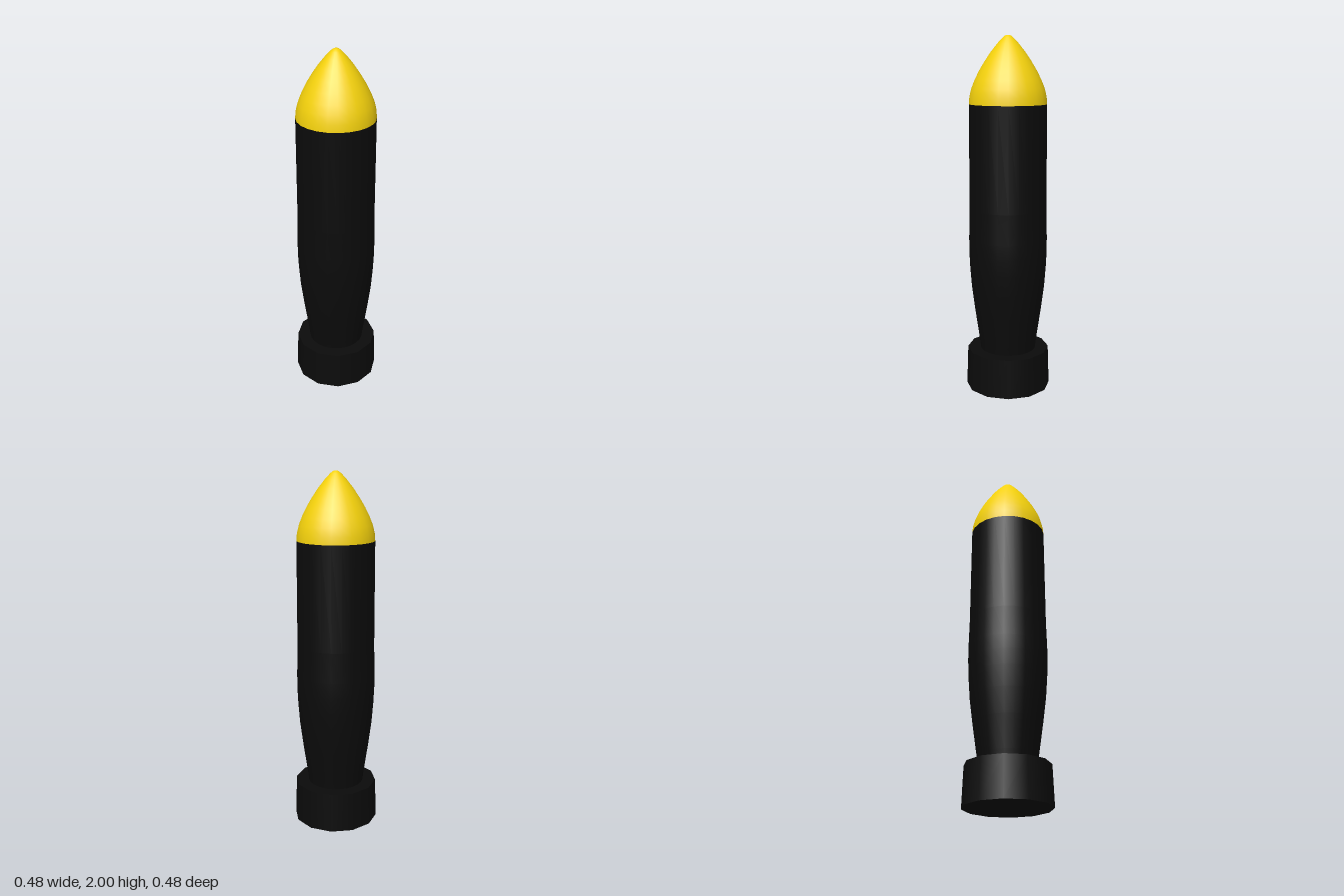
import * as THREE from 'three';

// Smooth lathe from [radius, height] pairs, listed bottom to top
function lathe(name, profile, sides, color) {
  const points = profile.map(([r, y]) => new THREE.Vector2(r, y));
  const mesh = new THREE.Mesh(
    new THREE.LatheGeometry(points, sides),
    new THREE.MeshStandardMaterial({ color, side: THREE.DoubleSide })
  );
  mesh.name = name;
  return mesh;
}

export function createModel() {
  const model = new THREE.Group();
  model.name = 'shell';
  const black = 0x0b0b0b, yellow = 0xf5d20c;

  // Twelve-sided tail collar, slightly wider at the foot
  const collar = new THREE.Mesh(
    new THREE.CylinderGeometry(0.233, 0.241, 0.225, 12),
    new THREE.MeshStandardMaterial({ color: black })
  );
  collar.name = 'tailCollar';
  collar.position.y = 0.1125;
  model.add(collar);

  // Long casing that narrows towards the collar
  model.add(lathe('casing', [
    [0.157, 0.21], [0.164, 0.27], [0.19, 0.45], [0.208, 0.59],
    [0.217, 0.71], [0.221, 0.8], [0.221, 0.88], [0.217, 1.05], [0.215, 1.63]
  ], 24, black));

  // Pointed nose with a small rounded tip
  model.add(lathe('noseCone', [
    [0.215, 1.63], [0.212, 1.67], [0.201, 1.715], [0.183, 1.76],
    [0.158, 1.81], [0.128, 1.86], [0.094, 1.91], [0.058, 1.955],
    [0.03, 1.985], [0.015, 1.997], [0, 2]
  ], 24, yellow));

  return model;
}
